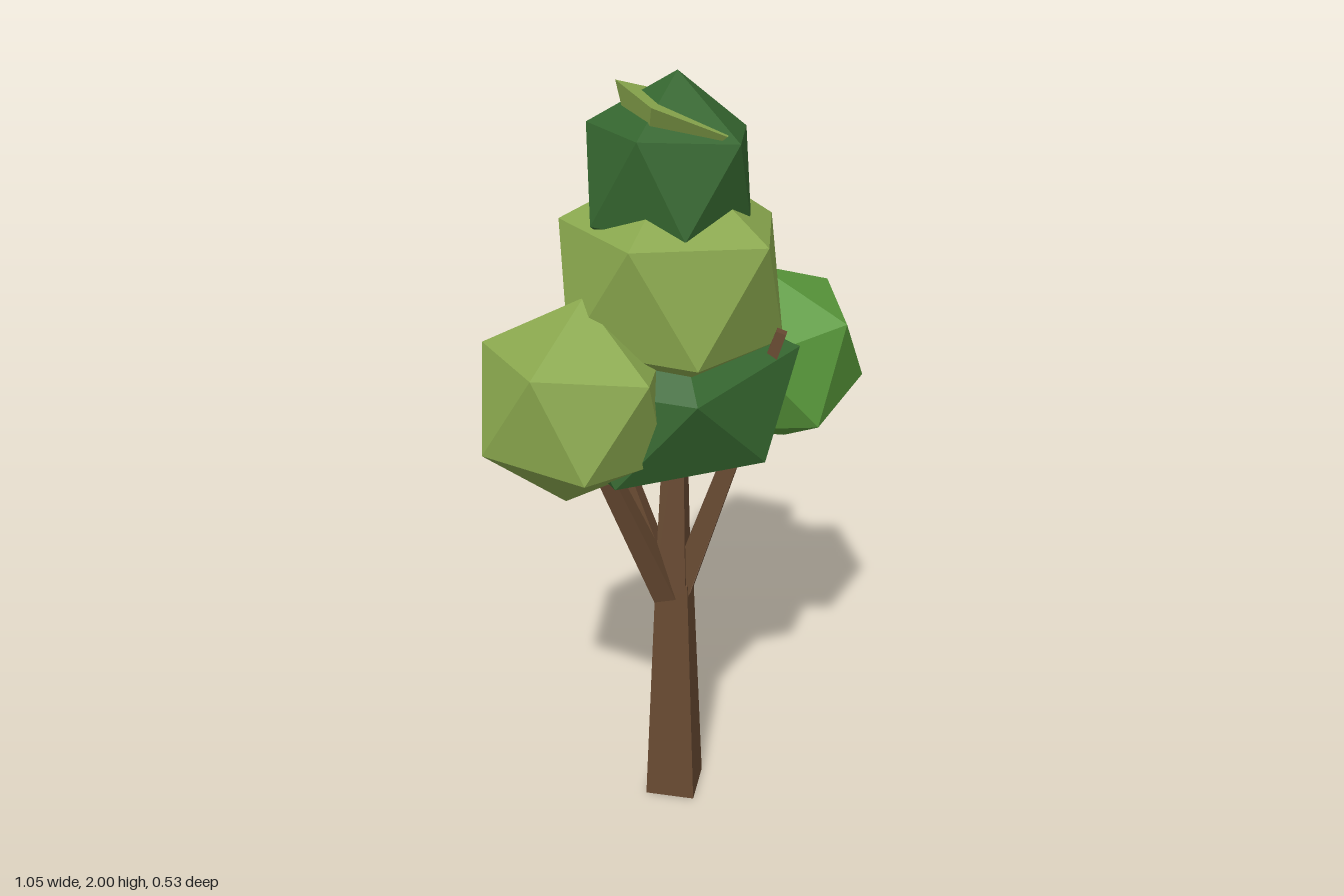
import * as THREE from 'three';

const V = (a) => new THREE.Vector3(...a);

// Rotation frame with y along the pole and x towards the neighbouring corner
function frame(pole, neighbour) {
  const y = pole.clone().normalize();
  const x = neighbour.clone().addScaledVector(y, -neighbour.dot(y)).normalize();
  return new THREE.Matrix4().makeBasis(x, y, x.clone().cross(y));
}

export function createModel() {
  const tree = new THREE.Group();
  tree.name = 'tree';
  const mat = (color) => new THREE.MeshStandardMaterial({ color, flatShading: true });
  const bark = mat(0x684a32);
  const light = mat(0x8aa84e);
  const mid = mat(0x58973a);
  const dark = mat(0x35662f);

  const add = (name, geometry, material, parent = tree) => {
    const mesh = new THREE.Mesh(geometry, material);
    mesh.name = name;
    parent.add(mesh);
    return mesh;
  };

  // Four-sided trunk with its corners on the axes
  const trunk = new THREE.CylinderGeometry(0.06, 0.095, 0.68, 4);
  add('trunk', trunk, bark).position.set(0.005, 0.34, 0);

  // Tapered branches fanning out of the trunk top
  const branches = new THREE.Group();
  branches.name = 'branches';
  tree.add(branches);
  [
    [[0, 0.66, 0], [0.01, 1.25, 0], 0.058, 0.03],
    [[0.025, 0.64, 0], [0.29, 1.22, 0.0], 0.042, 0.026],
    [[-0.02, 0.64, 0], [-0.27, 1.22, 0.0], 0.042, 0.026],
    [[0.01, 0.64, 0.01], [0.185, 1.4, 0.19], 0.042, 0.018],
    [[-0.01, 0.64, -0.01], [-0.185, 1.4, -0.19], 0.042, 0.018],
  ].forEach(([a, b, r0, r1]) => {
    const from = V(a), dir = V(b).sub(from);
    const geo = new THREE.CylinderGeometry(r1, r0, dir.length(), 4);
    const branch = add('branch', geo, bark, branches);
    branch.position.copy(from).addScaledVector(dir, 0.5);
    branch.quaternion.setFromUnitVectors(V([0, 1, 0]), dir.normalize());
  });

  // Leaf clumps: icosahedra turned so one corner lies along pole, the next along side
  const t = (1 + Math.sqrt(5)) / 2;
  const upright = frame(V([-1, t, 0]), V([1, t, 0])).invert();
  const clump = (name, material, centre, radius, pole, side, scale = [1, 1, 1]) => {
    const geo = new THREE.IcosahedronGeometry(radius, 0)
      .applyMatrix4(upright)
      .scale(...scale)
      .applyMatrix4(frame(V(pole), V(side)));
    add(name, geo, material).position.set(...centre);
  };
  clump('lowerLeaves', dark, [0, 1.23, 0], 0.3, [-0.02, 0.28, 0.035], [-1, 0, 0], [1.22, 0.84, 1]);
  clump('rightLeaves', light, [-0.285, 1.265, 0.01], 0.258, [-0.26, -0.09, -0.02], [-0.17, 0.14, 0.12], [1, 0.98, 1]);
  clump('leftLeaves', mid, [0.313, 1.245, -0.01], 0.252, [-0.05, 0.245, 0], [0.21, 0.15, -0.03]);
  clump('middleLeaves', light, [0, 1.51, 0], 0.3, [0.02, 0.3, 0], [1, 0, 0], [1.05, 1, 0.97]);
  clump('upperLeaves', dark, [-0.005, 1.762, -0.005], 0.218, [0.02, 0.22, 0], [1, 0, 0.03], [1.04, 1.09, 0.98]);

  // Tilted five-sided tuft poking through the crown
  const tuft = new THREE.CylinderGeometry(0.156, 0.12, 0.05, 5)
    .rotateY(Math.PI / 2)
    .applyMatrix4(frame(V([0.373, 1, 0.186]), V([-0.11, 0.06, -0.1])));
  add('crownTuft', tuft, light).position.set(-0.005, 1.897, 0.017);

  return tree;
}
